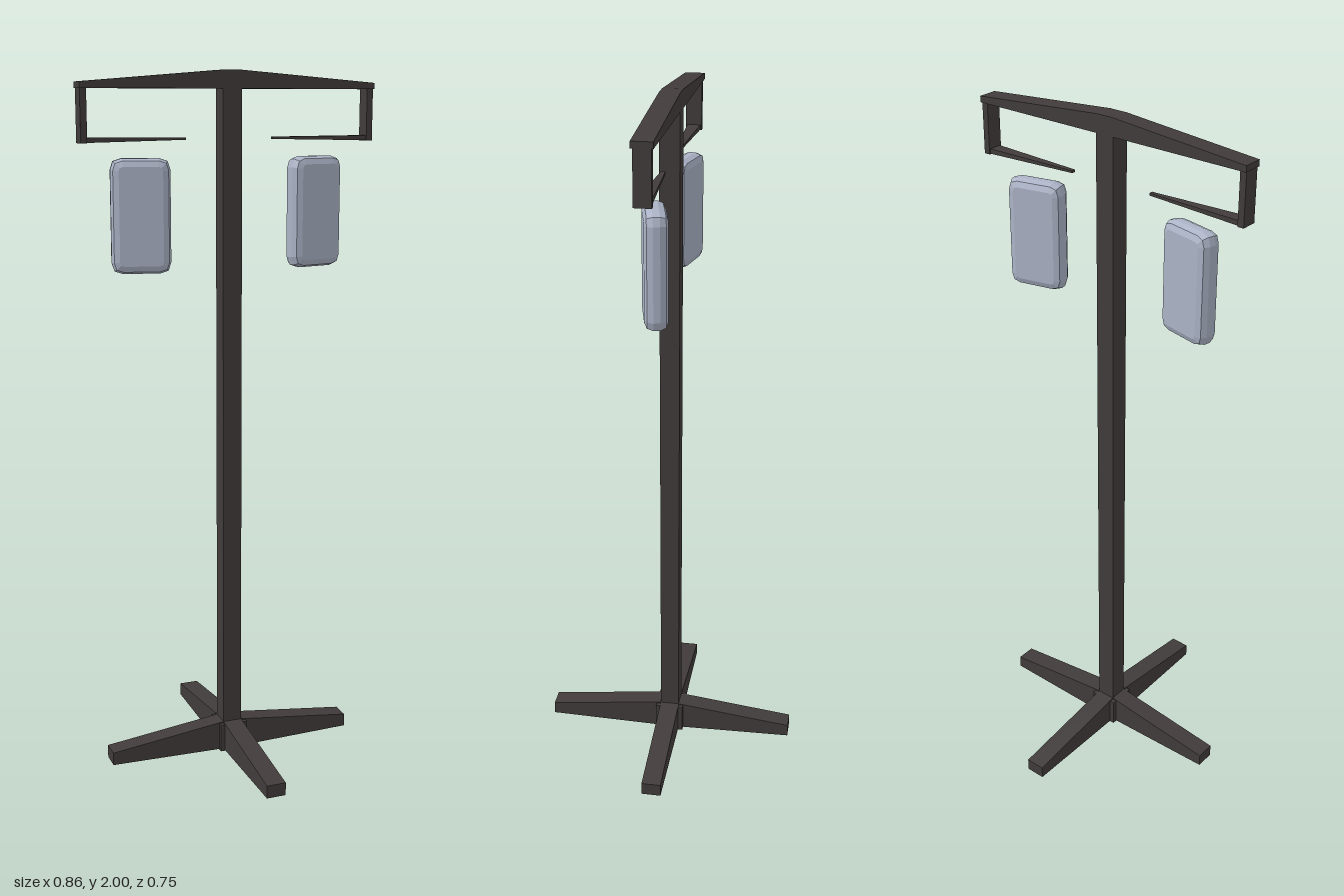
import * as THREE from 'three';

const dark = new THREE.MeshStandardMaterial({ color: 0x413c3b });
dark.name = 'darkMetal';
const pale = new THREE.MeshStandardMaterial({ color: 0xabb3c6 });
pale.name = 'paleBlueGrey';

function part(name, geometry, material, parent) {
  const mesh = new THREE.Mesh(geometry, material);
  mesh.name = name;
  parent.add(mesh);
  return mesh;
}

// Side outline extruded to a given width, centred on z
function slab(points, width) {
  const shape = new THREE.Shape(points.map(([x, y]) => new THREE.Vector2(x, y)));
  return new THREE.ExtrudeGeometry(shape, { depth: width, bevelEnabled: false }).translate(0, 0, -width / 2);
}

// Upright panel with rounded corners and faceted, bevelled rims
function panelGeometry(width, height, depth) {
  const b = 0.022, r = 0.012, x = width / 2 - b, y = height / 2 - b;
  const s = new THREE.Shape();
  s.moveTo(-x + r, -y);
  s.lineTo(x - r, -y);
  s.quadraticCurveTo(x, -y, x, -y + r);
  s.lineTo(x, y - r);
  s.quadraticCurveTo(x, y, x - r, y);
  s.lineTo(-x + r, y);
  s.quadraticCurveTo(-x, y, -x, y - r);
  s.lineTo(-x, -y + r);
  s.quadraticCurveTo(-x, -y, -x + r, -y);
  const core = depth - 2 * b;
  return new THREE.ExtrudeGeometry(s, {
    depth: core, bevelEnabled: true, bevelSize: b, bevelThickness: b, bevelSegments: 2, curveSegments: 2,
  }).translate(0, 0, -core / 2);
}

export function createModel() {
  const model = new THREE.Group();
  model.name = 'hangingStand';

  // Pole and base hub
  part('pole', new THREE.BoxGeometry(0.056, 1.9, 0.056), dark, model).position.y = 1.01;
  part('baseHub', new THREE.BoxGeometry(0.084, 0.085, 0.084), dark, model).position.y = 0.0435;

  // Four tapering feet
  const foot = slab([[0, 0.002], [0.375, 0.01], [0.375, 0.048], [0.03, 0.09], [0, 0.09]], 0.057);
  for (let i = 0; i < 4; i++) part('foot', foot, dark, model).rotation.y = i * Math.PI / 2;

  // Peaked crossbeam
  part('crossbeam', slab([
    [-0.43, 1.95], [0.43, 1.95], [0.43, 1.967], [0.025, 2], [-0.025, 2], [-0.43, 1.967],
  ], 0.056), dark, model);

  for (const side of [1, -1]) {
    const arm = new THREE.Group();
    arm.name = side > 0 ? 'leftHanger' : 'rightHanger';
    model.add(arm);

    // Drop bar under the beam end
    part('dropBar', new THREE.BoxGeometry(0.018, 0.15, 0.046), dark, arm).position.set(side * 0.419, 1.882, 0);

    // Rod narrowing toward the pole
    const rod = new THREE.BoxGeometry(0.298, 0.014, 0.04);
    const p = rod.attributes.position;
    for (let i = 0; i < p.count; i++) {
      if (p.getX(i) * side < 0) {
        p.setZ(i, p.getZ(i) * 0.3);
        p.setY(i, p.getY(i) * 0.45 + 0.002);
      }
    }
    rod.computeVertexNormals();
    part('rod', rod, dark, arm).position.set(side * 0.277, 1.815, 0);

    // Hanging panel, turned slightly about the vertical
    const panel = part('panel', panelGeometry(0.164, 0.312, 0.062), pale, arm);
    panel.position.set(side * 0.258, 1.61, 0);
    panel.rotation.y = side * 0.225;
  }
  return model;
}
